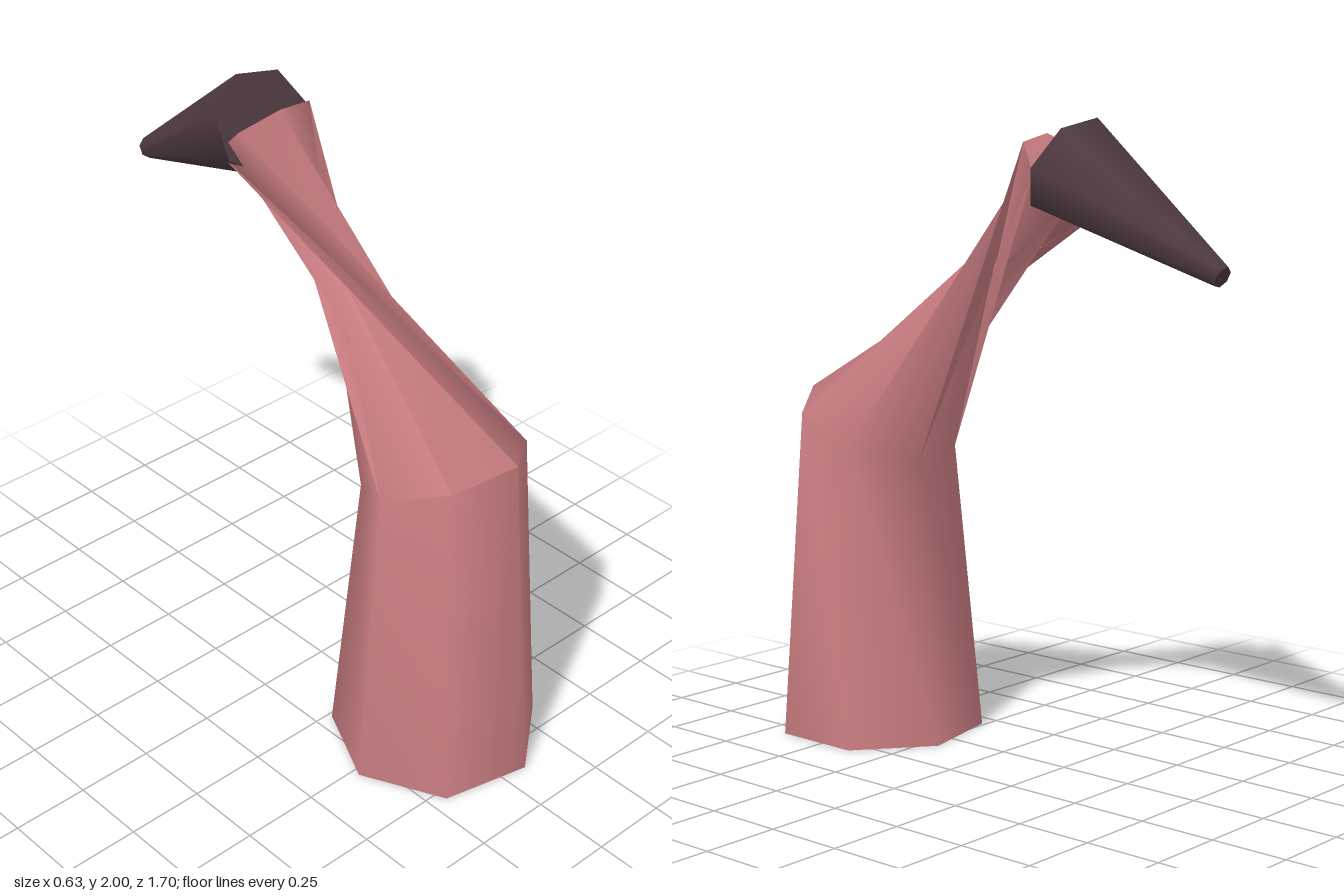
import * as THREE from 'three';
import { toCreasedNormals } from 'three/addons/utils/BufferGeometryUtils.js';

const SIDES = 7;
const STEP = (Math.PI * 2) / SIDES;

// Seven-sided ring at height y and depth z, tilted about x, its corners turned by `turn`
function ring(y, z, rx, rf, tilt, turn) {
  return Array.from({ length: SIDES }, (_, i) => {
    const a = Math.PI + i * STEP + turn;
    const f = rf * Math.sin(a);
    return new THREE.Vector3(0.013 + rx * Math.cos(a), y + f * Math.sin(tilt), z + f * Math.cos(tilt));
  });
}

// Skin consecutive rings and close both ends
function loft(rings) {
  const pos = [];
  const tri = (...pts) => pts.forEach((p) => pos.push(p.x, p.y, p.z));
  const first = rings[0];
  const last = rings[rings.length - 1];
  for (let i = 0; i < SIDES; i++) {
    const j = (i + 1) % SIDES;
    for (let r = 0; r < rings.length - 1; r++) {
      const lo = rings[r];
      const hi = rings[r + 1];
      tri(lo[i], hi[i], hi[j]);
      tri(lo[i], hi[j], lo[j]);
    }
    if (i > 0 && i < SIDES - 1) {
      tri(first[0], first[i], first[j]);
      tri(last[0], last[j], last[i]);
    }
  }
  const g = new THREE.BufferGeometry();
  g.setAttribute('position', new THREE.Float32BufferAttribute(pos, 3));
  return toCreasedNormals(g, THREE.MathUtils.degToRad(60));
}

function part(name, rings, color) {
  const material = new THREE.MeshStandardMaterial({ color, side: THREE.DoubleSide });
  const mesh = new THREE.Mesh(loft(rings), material);
  mesh.name = name;
  return mesh;
}

export function createModel() {
  const group = new THREE.Group();
  group.name = 'longNeckedFigure';

  // Tapered body, then a neck that twists into a narrow waist and flares again
  group.add(part('bodyAndNeck', [
    ring(0, 0.525, 0.334, 0.334, 0, 0),
    ring(1.01, 0.53, 0.263, 0.263, 0.4, 0),
    ring(1.84, -0.265, 0.16, 0.16, Math.PI / 4, 2.5 * STEP),
  ], 0xc87c80));

  // Dark tapered head pointing backwards and down
  const headTilt = Math.PI / 2 + 0.47;
  group.add(part('head', [
    ring(1.857, -0.273, 0.179, 0.164, headTilt, STEP / 2),
    ring(1.56, -0.835, 0.034, 0.034, headTilt, STEP / 2),
  ], 0x4f3a42));

  return group;
}
